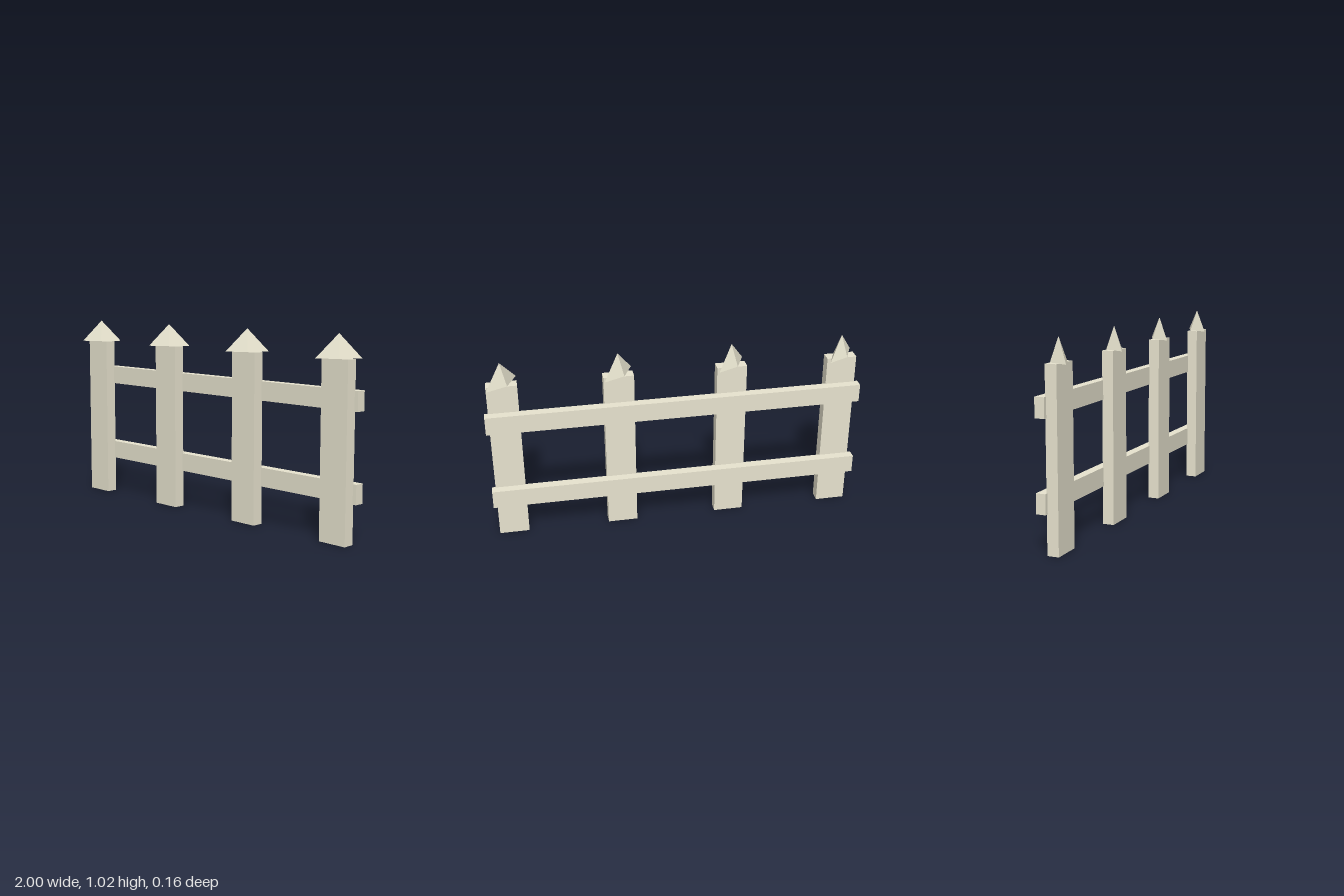
import * as THREE from 'three';

export function createModel() {
  const fence = new THREE.Group();
  fence.name = 'picketFence';
  const wood = new THREE.MeshStandardMaterial({ color: 0xe8e4cf, flatShading: true });

  const add = (parent, name, geometry, x, y, z) => {
    const mesh = new THREE.Mesh(geometry, wood);
    mesh.name = name;
    mesh.position.set(x, y, z);
    parent.add(mesh);
    return mesh;
  };

  // Pickets, each with a flattened four-sided point turned across the board
  const boardGeometry = new THREE.BoxGeometry(0.16, 0.9, 0.06);
  const tipGeometry = new THREE.ConeGeometry(0.112, 0.12, 4);
  tipGeometry.scale(1, 1, 0.375).rotateY(Math.PI / 4);
  for (const x of [-0.9, -0.3, 0.3, 0.9]) {
    const picket = new THREE.Group();
    picket.name = 'picket';
    picket.position.x = x;
    add(picket, 'picketBoard', boardGeometry, 0, 0.45, 0);
    add(picket, 'picketTip', tipGeometry, 0, 0.96, 0);
    fence.add(picket);
  }

  // Rails along the back, set slightly into the pickets
  const railGeometry = new THREE.BoxGeometry(2, 0.1, 0.05);
  add(fence, 'lowerRail', railGeometry, 0, 0.25, -0.05);
  add(fence, 'upperRail', railGeometry, 0, 0.7, -0.05);

  return fence;
}
